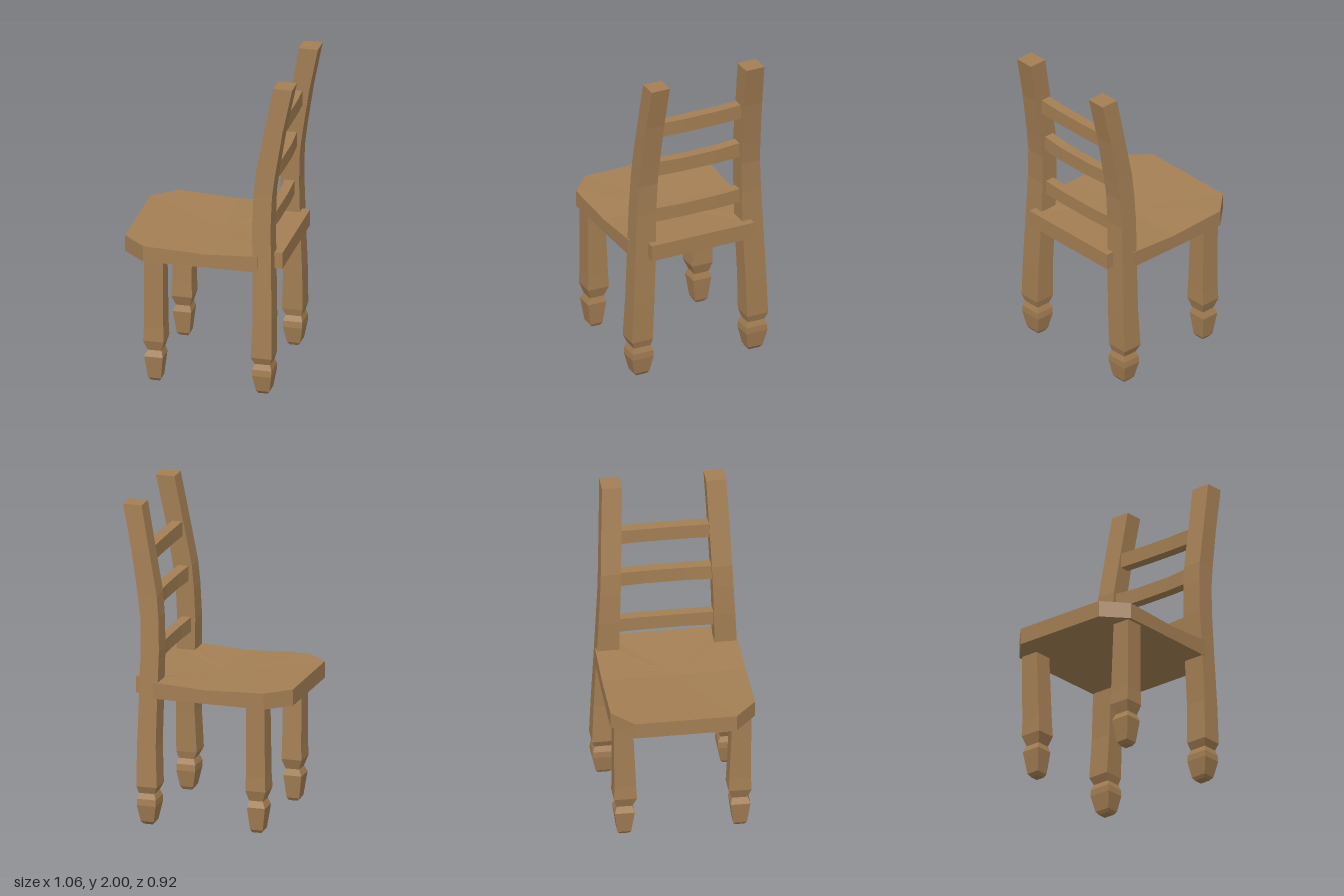
import * as THREE from 'three';

// Skin a series of equal-length rings (counter-clockwise seen from the last ring) and cap both ends.
function loft(rings, startCentre, endCentre) {
  const pos = [];
  const tri = (a, b, c) => pos.push(...a, ...b, ...c);
  const n = rings[0].length;
  const mean = (ring) => [0, 1, 2].map((k) => ring.reduce((s, p) => s + p[k], 0) / n);
  const last = rings[rings.length - 1];
  const c0 = startCentre || mean(rings[0]);
  const c1 = endCentre || mean(last);
  for (let i = 0; i < n; i++) {
    const j = (i + 1) % n;
    for (let r = 0; r < rings.length - 1; r++) {
      const lo = rings[r], hi = rings[r + 1];
      tri(lo[i], lo[j], hi[j]);
      tri(lo[i], hi[j], hi[i]);
    }
    tri(c0, rings[0][j], rings[0][i]);
    tri(c1, last[i], last[j]);
  }
  const g = new THREE.BufferGeometry();
  g.setAttribute('position', new THREE.Float32BufferAttribute(pos, 3));
  g.computeVertexNormals();
  return g;
}

// Square-section leg from rows of [y, x0, x1, inner z, outer z].
function legGeometry(rows, side) {
  return loft(rows.map(([y, x0, x1, zi, zo]) => {
    const lo = Math.min(zi * side, zo * side), hi = Math.max(zi * side, zo * side);
    return [[x1, y, hi], [x1, y, lo], [x0, y, lo], [x0, y, hi]];
  }));
}

export function createModel() {
  const wood = new THREE.MeshStandardMaterial({ color: 0xa47f54 });
  wood.name = 'wood';
  wood.flatShading = true;
  const chair = new THREE.Group();
  chair.name = 'chair';
  const add = (name, geometry) => {
    const mesh = new THREE.Mesh(geometry, wood);
    mesh.name = name;
    chair.add(mesh);
  };

  // Seat: clipped front corners, notched around the rear posts, slightly dished top. Half outline [x, z, top y].
  const half = [
    [0.46, 0.345, 0.905], [0.325, 0.345, 0.905], [0.325, 0.435, 0.905],
    [0, 0.44, 0.888], [-0.385, 0.442, 0.903], [-0.53, 0.31, 0.905],
  ];
  const outline = [...half.map(([x, z, y]) => [x, -z, y]), ...half.slice().reverse()];
  add('seat', loft([
    outline.map(([x, z]) => [x, 0.802, z]),
    outline.map(([x, z, y]) => [x, y, z]),
  ], [0, 0.802, 0], [0, 0.88, 0]));

  // Legs with a turned-in ankle and tapered foot; the rear pair continue up as the back posts.
  const frontRows = [
    [0, -0.35, -0.295, 0.325, 0.38], [0.02, -0.365, -0.285, 0.312, 0.395],
    [0.165, -0.385, -0.27, 0.293, 0.415], [0.205, -0.367, -0.28, 0.305, 0.4],
    [0.27, -0.39, -0.262, 0.28, 0.42], [0.36, -0.386, -0.265, 0.285, 0.418],
    [0.82, -0.385, -0.267, 0.305, 0.42],
  ];
  const rearRows = [
    [0, 0.33, 0.385, 0.345, 0.415], [0.02, 0.318, 0.4, 0.332, 0.432],
    [0.125, 0.298, 0.418, 0.312, 0.455], [0.165, 0.298, 0.418, 0.315, 0.452],
    [0.2, 0.312, 0.408, 0.328, 0.44], [0.245, 0.29, 0.42, 0.318, 0.458],
    [0.5, 0.3, 0.419, 0.308, 0.447], [0.85, 0.295, 0.41, 0.292, 0.43],
    [1.1, 0.289, 0.405, 0.288, 0.418], [1.3, 0.296, 0.411, 0.282, 0.408],
    [1.44, 0.308, 0.429, 0.278, 0.402], [1.72, 0.36, 0.473, 0.268, 0.392],
    [2, 0.412, 0.53, 0.257, 0.38],
  ];
  for (const [side, label] of [[1, 'Left'], [-1, 'Right']]) {
    add('frontLeg' + label, legGeometry(frontRows, side));
    add('rearPost' + label, legGeometry(rearRows, side));
  }

  // Back rungs, each a little bowed: [bottom y, top y, x0, x1, half length, bow].
  const rungs = [
    [1.018, 1.11, 0.315, 0.375, 0.31, 0.008],
    [1.34, 1.436, 0.328, 0.392, 0.3, 0.012],
    [1.622, 1.716, 0.365, 0.43, 0.29, 0.006],
  ];
  rungs.forEach(([y0, y1, x0, x1, h, bow], i) => {
    add('backRung' + (i + 1), loft([-1, -0.4, 0.4, 1].map((t) => {
      const b = Math.abs(t) < 1 ? bow : 0;
      return [[x1 + b, y0, t * h], [x1 + b, y1 - b / 2, t * h], [x0 + b, y1 - b / 2, t * h], [x0 + b, y0, t * h]];
    })));
  });

  return chair;
}
